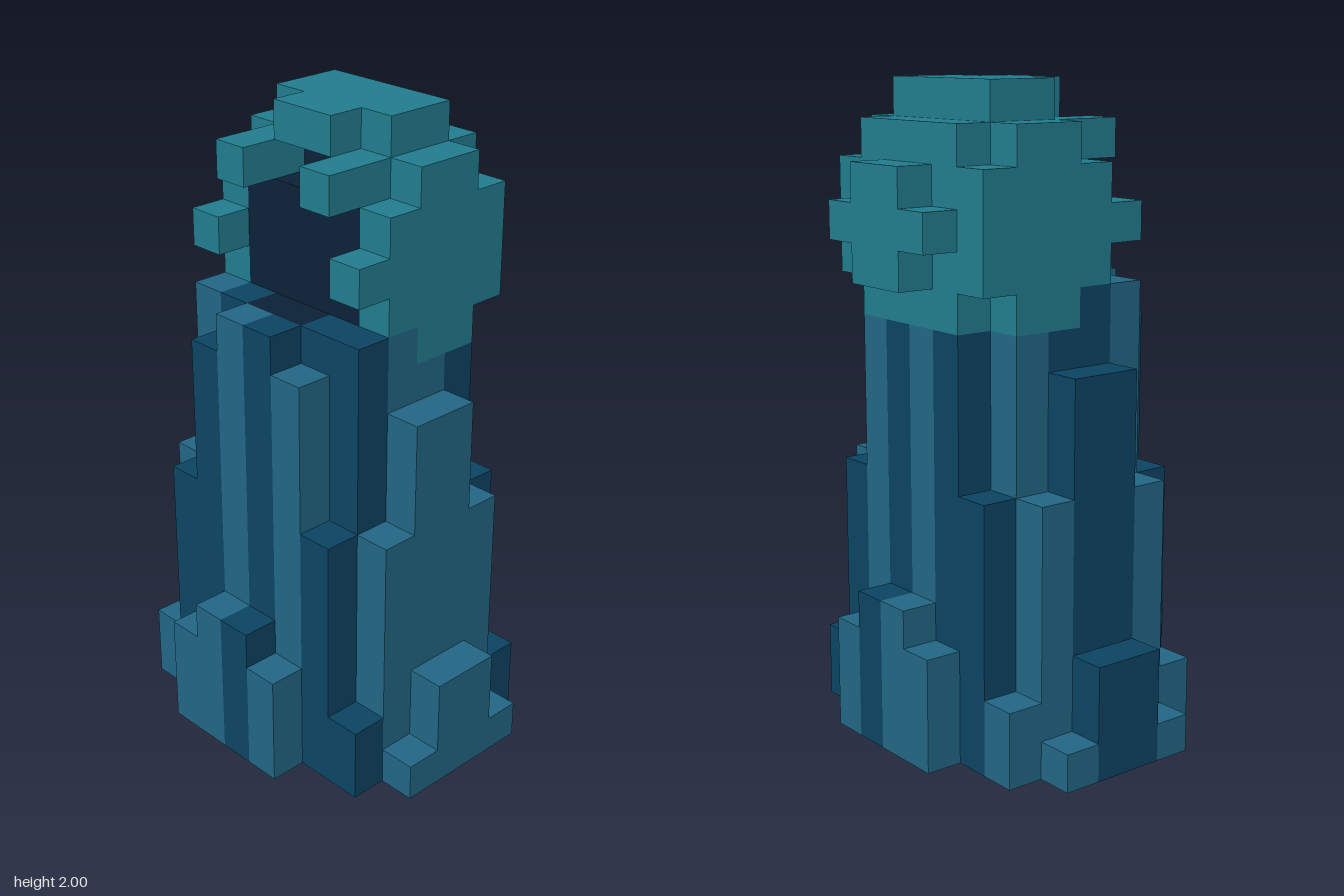
import * as THREE from 'three';

const U = 2 / 17; // size of one block

const material = (name, color) => {
  const m = new THREE.MeshStandardMaterial({ color });
  m.name = name;
  return m;
};

export function createModel() {
  const light = material('light blue cloth', 0x226684);
  const dark = material('dark blue cloth', 0x0c4463);
  const teal = material('teal hood', 0x217d8f);
  const navy = material('navy shadow', 0x0c2137);

  const model = new THREE.Group();
  model.name = 'hoodedFigure';
  const part = (name) => {
    const g = new THREE.Group();
    g.name = name;
    model.add(g);
    return g;
  };

  // Box between two corners given in whole blocks
  function block(parent, name, mat, x0, x1, y0, y1, z0, z1) {
    const geo = new THREE.BoxGeometry((x1 - x0) * U, (y1 - y0) * U, (z1 - z0) * U);
    const mesh = new THREE.Mesh(geo, mat);
    mesh.position.set((x0 + x1) / 2 * U, (y0 + y1) / 2 * U, (z0 + z1) / 2 * U);
    mesh.name = name;
    parent.add(mesh);
  }

  // Hollow robe of one-block folds; each row: z, then [x, bottom, top, colour]
  const robe = part('robe');
  const L = light, D = dark;
  const rows = [
    [3, [[-2, 0, 3, L], [-1, 0, 4, L], [0, 0, 4, D], [1, 0, 3, L]]],
    [2, [[-4, 0, 2, L], [-3, 0, 7, D], [-2, 2, 11, D], [-1, 3, 12, L],
      [0, 3, 12, D], [1, 2, 11, L], [2, 0, 7, D], [3, 0, 2, D]]],
    [1, [[-5, 0, 1, L], [-4, 0, 7, L], [-3, 6, 12, L], [-2, 10, 12, D],
      [1, 10, 12, D], [2, 6, 12, D], [3, 0, 7, L], [4, 0, 1, L]]],
    [0, [[-5, 0, 3, D], [-4, 2, 10, D], [-3, 9, 12, D],
      [2, 9, 12, L], [3, 2, 10, L], [4, 0, 3, L]]],
  ];
  for (const [z, folds] of rows) {
    for (const [x, y0, y1, mat] of folds) {
      block(robe, 'frontFold', mat, x, x + 1, y0, y1, z, z + 1);
      // the back folds stop under the hood
      block(robe, 'backFold', mat, x, x + 1, y0, Math.min(y1, 11), -1 - z, -z);
    }
  }

  // Dark opening of the hood and the neck below it
  const face = part('faceOpening');
  block(face, 'faceShadow', navy, -2, 2, 12, 15, 0, 1);
  block(face, 'browShadow', navy, -1, 1, 15, 16, -1, 0);
  block(face, 'neck', navy, -2, 2, 11, 12, -2, 1);
  block(face, 'collarShadow', navy, -1, 1, 11, 12, 1, 2);

  // Hood
  const hood = part('hood');
  block(hood, 'hoodBack', teal, -2, 2, 11, 16, -3, -2);
  block(hood, 'hoodCore', teal, -2, 2, 12, 15, -2, 0);
  block(hood, 'hoodUpper', teal, -2, 2, 15, 16, -2, -1);
  block(hood, 'hoodTop', teal, -2, 2, 16, 17, -2, 0);
  block(hood, 'hoodPeak', teal, -1, 1, 16, 17, 0, 1);
  block(hood, 'backKnot', teal, -1, 1, 12, 15, -4, -3);
  for (const s of [-1, 1]) {
    const side = (name, a, b, ...yz) =>
      block(hood, name, teal, Math.min(s * a, s * b), Math.max(s * a, s * b), ...yz);
    side('hoodSide', 2, 3, 12, 15, -3, 1);
    side('hoodSideUpper', 2, 3, 15, 16, -2, 0);
    side('hoodSideHem', 2, 3, 11, 12, -2, 0);
    side('cheekTab', 2, 3, 13, 14, 1, 2);
    side('browTab', 1, 2, 15, 16, -1, 2);
    side('knotSide', 1, 2, 13, 14, -4, -3);
  }
  return model;
}
